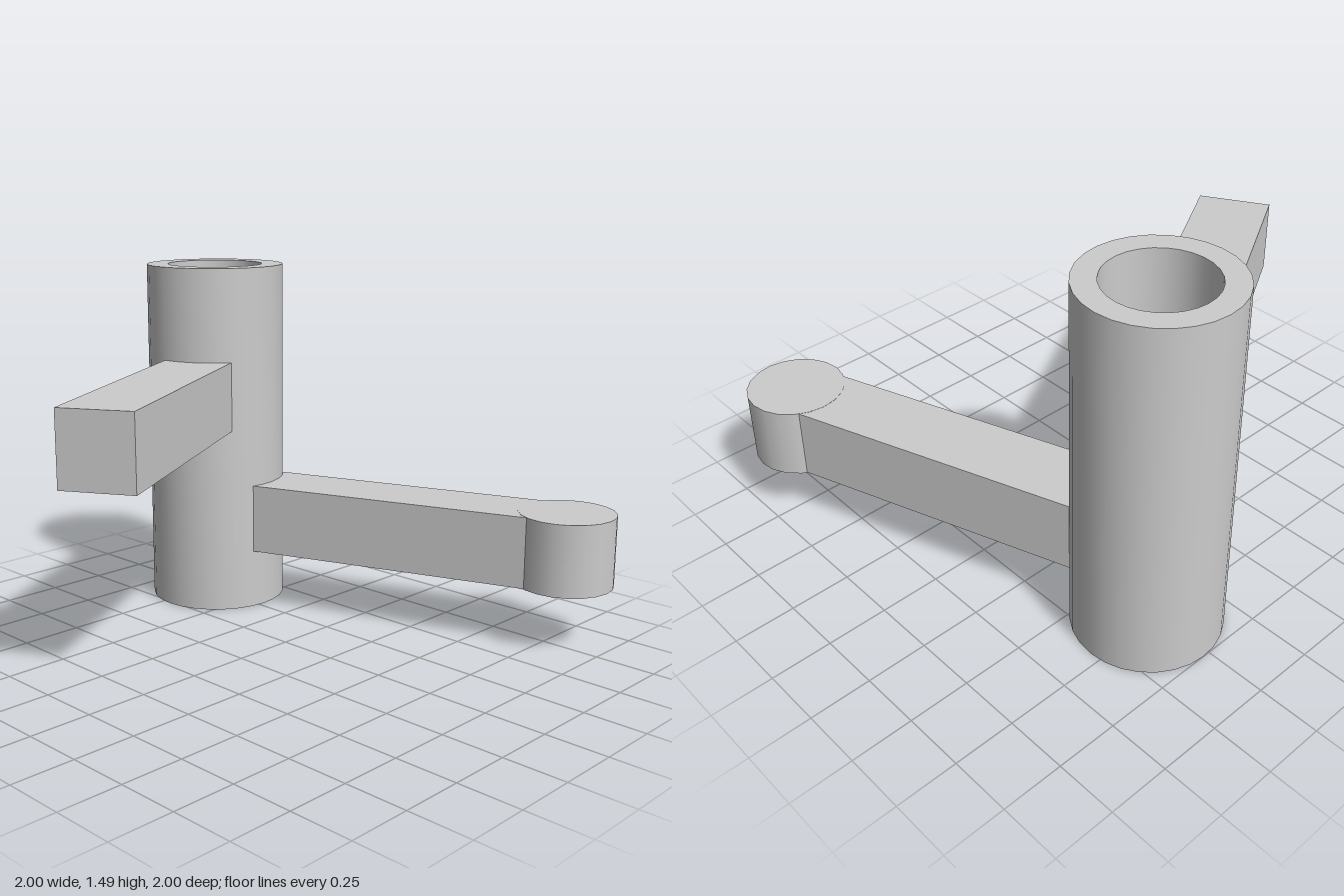
import * as THREE from 'three';
import { toCreasedNormals } from 'three/addons/utils/BufferGeometryUtils.js';

export function createModel() {
  const model = new THREE.Group();
  const grey = new THREE.MeshStandardMaterial({ color: 0xcccccc });
  grey.name = 'plain grey';

  const hub = { x: 0.278, z: -0.704 };
  const knobAt = { x: 0.802, z: 0.802 };

  const add = (name, geometry, x, y, z) => {
    const mesh = new THREE.Mesh(geometry, grey);
    mesh.name = name;
    mesh.position.set(x, y, z);
    model.add(mesh);
    return mesh;
  };

  // Square bar running between two points on the ground plan
  const addArm = (name, from, to, y) => {
    const dx = to.x - from.x, dz = to.z - from.z;
    const bar = new THREE.BoxGeometry(Math.hypot(dx, dz), 0.296, 0.296);
    const mesh = add(name, bar, (from.x + to.x) / 2, y, (from.z + to.z) / 2);
    mesh.rotation.y = Math.atan2(-dz, dx);
  };

  // Hollow upright tube
  const ring = new THREE.Shape().absarc(0, 0, 0.296, 0, Math.PI * 2);
  ring.holes.push(new THREE.Path().absarc(0, 0, 0.205, 0, Math.PI * 2, true));
  const tube = new THREE.ExtrudeGeometry(ring, { depth: 1.49, bevelEnabled: false, curveSegments: 14 });
  tube.rotateX(-Math.PI / 2);
  add('tube', toCreasedNormals(tube, 0.6), hub.x, 0, hub.z);

  // Both arms begin on the tube's axis
  addArm('upperArm', hub, { x: -0.925, z: -0.01 }, 0.947);
  addArm('lowerArm', hub, knobAt, 0.4);

  // Round end of the lower arm
  add('armEnd', new THREE.CylinderGeometry(0.198, 0.198, 0.298, 20), knobAt.x, 0.4, knobAt.z);

  return model;
}
